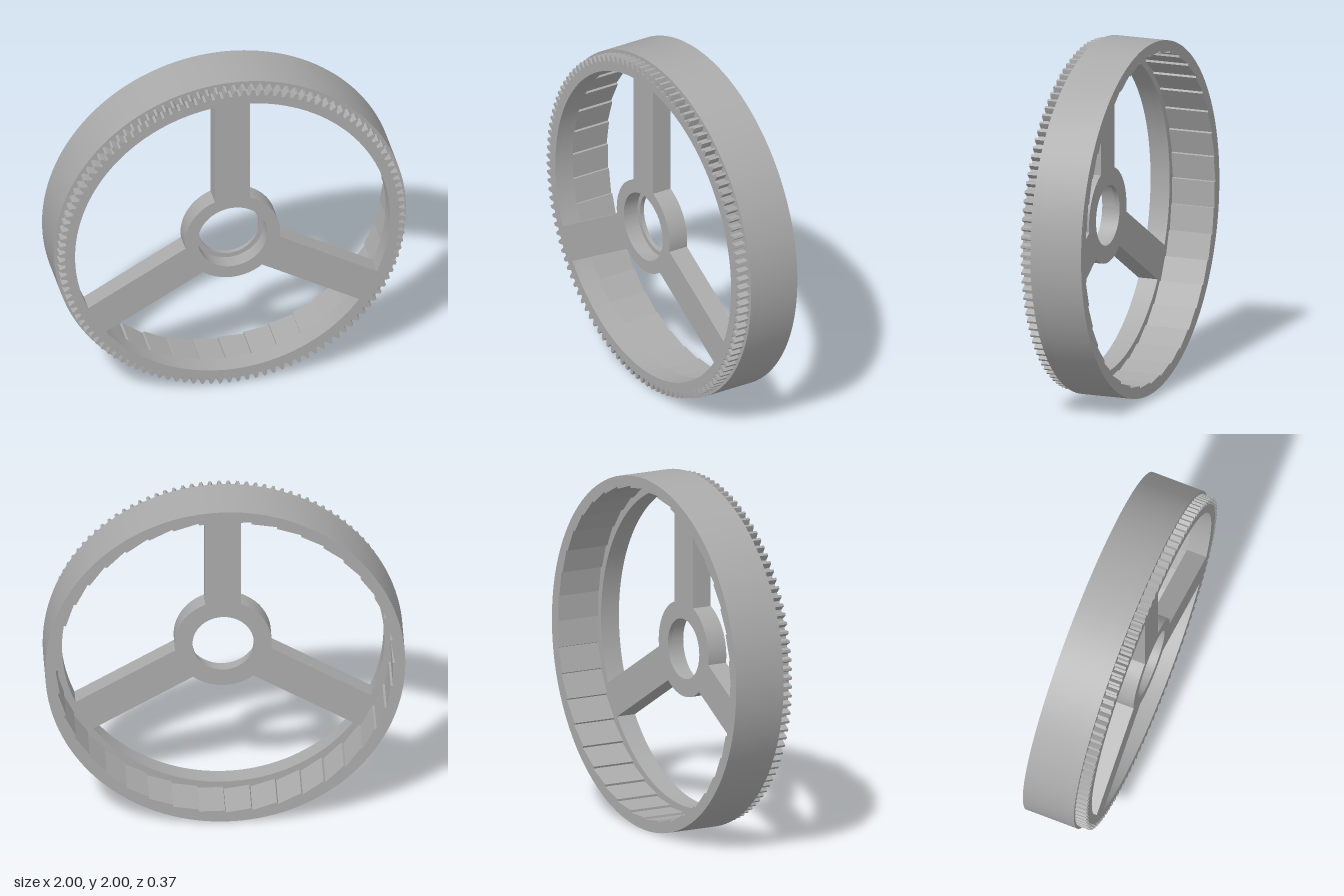
import * as THREE from 'three';
import { toCreasedNormals } from 'three/addons/utils/BufferGeometryUtils.js';

const SEG = 128;

// Closed outline from [radius, angle] pairs
function polar(points) {
  return points.map(([r, a]) => new THREE.Vector2(r * Math.cos(a), r * Math.sin(a)));
}
const circle = (r) => polar(Array.from({ length: SEG }, (_, i) => [r, (i / SEG) * Math.PI * 2]));

// Repeats a one-step profile of [radius, fraction of step] around the circle
function repeated(count, profile) {
  const pts = [];
  for (let i = 0; i < count; i++) {
    for (const [r, f] of profile) pts.push([r, ((i + f) / count) * Math.PI * 2]);
  }
  return polar(pts);
}

export function createModel() {
  const model = new THREE.Group();
  model.name = 'gearWheel';
  const grey = new THREE.MeshStandardMaterial({ color: 0xaaaaaa });
  grey.name = 'grey';

  const wheel = new THREE.Group();
  wheel.name = 'wheel';
  wheel.position.y = 1;
  model.add(wheel);

  // Solid between two outlines, from z0 to z1
  function ring(name, outer, inner, z0, z1) {
    const shape = new THREE.Shape(outer);
    shape.holes.push(new THREE.Path(inner));
    const geo = new THREE.ExtrudeGeometry(shape, { depth: z1 - z0, bevelEnabled: false });
    geo.translate(0, 0, z0);
    const mesh = new THREE.Mesh(toCreasedNormals(geo, 0.1), grey);
    mesh.name = name;
    wheel.add(mesh);
  }

  const back = -0.185, lip = 0.07, shoulder = 0.12, front = 0.185;

  // Rim: stepped flat facets inside, then a narrower lip toward the front
  ring('rim', circle(1), repeated(40, [[0.93, 0], [0.942, 0.98]]), back, lip);
  ring('rimLip', circle(1), circle(0.895), lip, shoulder);

  // Gear teeth on the front shoulder
  const tooth = [[0.948, 0], [0.948, 0.3], [0.967, 0.4], [0.984, 0.52], [0.984, 0.78], [0.967, 0.9]];
  ring('gearTeeth', repeated(120, tooth), circle(0.895), shoulder, front);

  // Hub with a bearing seat open to the front
  ring('hubBack', circle(0.27), circle(0.17), lip, 0.095);
  ring('hub', circle(0.27), circle(0.197), 0.095, front);

  // Three spokes
  const r0 = 0.22, r1 = 0.905;
  for (let i = 0; i < 3; i++) {
    const geo = new THREE.BoxGeometry(0.2, r1 - r0, front - lip);
    geo.translate(0, (r0 + r1) / 2, (front + lip) / 2);
    const spoke = new THREE.Mesh(geo, grey);
    spoke.name = 'spoke' + (i + 1);
    spoke.rotation.z = (i * Math.PI * 2) / 3;
    wheel.add(spoke);
  }
  return model;
}
